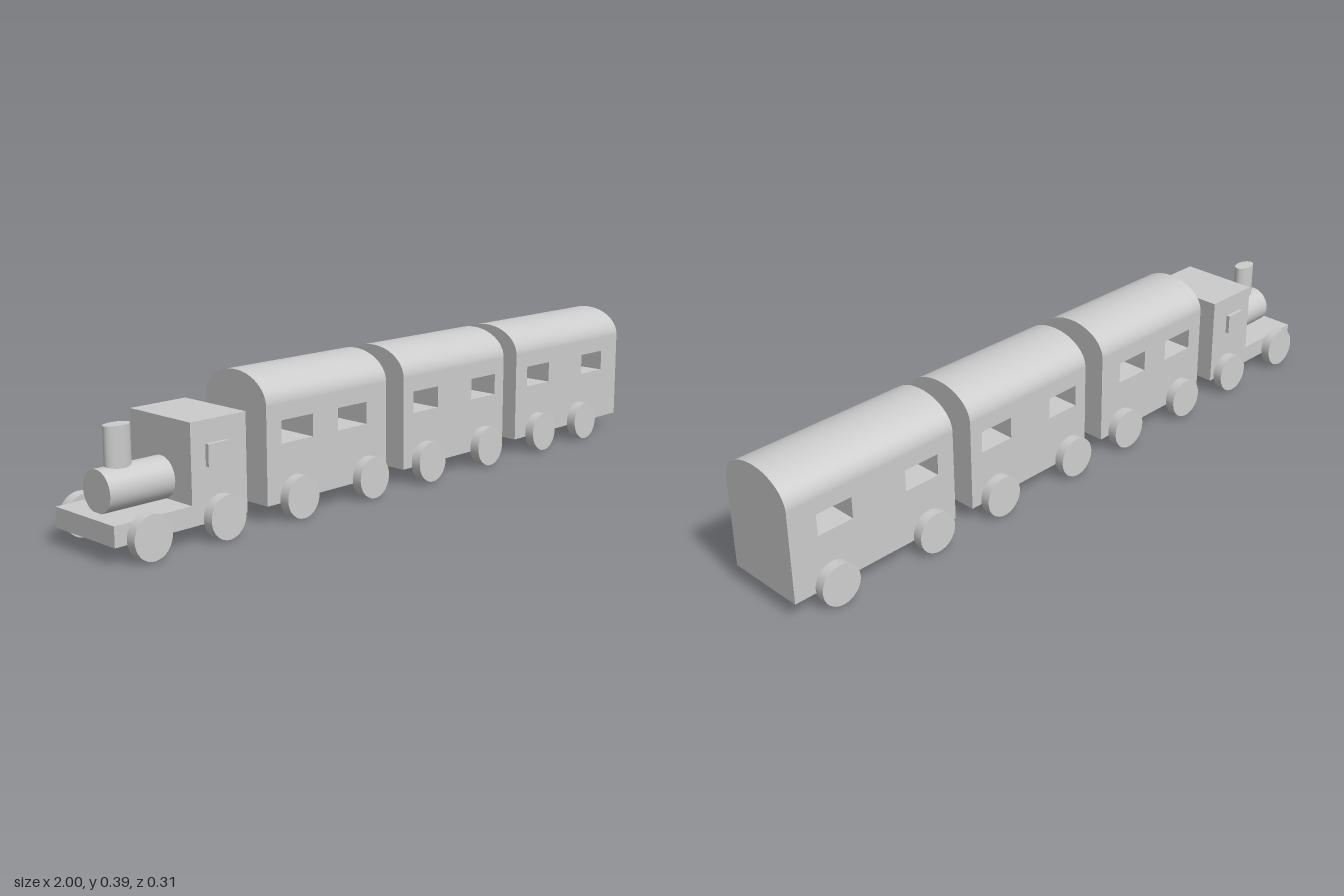
import * as THREE from 'three';

const material = new THREE.MeshStandardMaterial({ color: 0xcccccc });
const HALF = 0.118; // half width of every body
const FLOOR = 0.05;
const EAVES = 0.31;
const ROOF = 0.391;

function add(parent, name, geometry, x = 0, y = 0, z = 0) {
  const mesh = new THREE.Mesh(geometry, material);
  mesh.name = name;
  mesh.position.set(x, y, z);
  parent.add(mesh);
  return mesh;
}

// Box given by its limits on each axis
function addBox(parent, name, [x0, x1], [y0, y1], [z0, z1]) {
  return add(parent, name, new THREE.BoxGeometry(x1 - x0, y1 - y0, z1 - z0),
    (x0 + x1) / 2, (y0 + y1) / 2, (z0 + z1) / 2);
}

function rectangle(target, x0, x1, y0, y1) {
  target.moveTo(x0, y0);
  target.lineTo(x1, y0);
  target.lineTo(x1, y1);
  target.lineTo(x0, y1);
  target.closePath();
  return target;
}

// Wheels on both sides, leaning slightly in at the top
function addWheels(parent, leftXs, rightXs) {
  const geometry = new THREE.CylinderGeometry(0.057, 0.057, 0.029, 32).rotateX(Math.PI / 2);
  [[leftXs, 1], [rightXs, -1]].forEach(([xs, side]) => xs.forEach((x) => {
    const wheel = add(parent, side > 0 ? 'leftWheel' : 'rightWheel', geometry, x, 0.062, side * 0.136);
    wheel.rotation.x = -side * 0.04;
    wheel.rotation.y = side * 0.03;
  }));
}

function createEngine() {
  const engine = new THREE.Group();
  engine.name = 'engine';
  addBox(engine, 'chassis', [-1, -0.77], [FLOOR, 0.103], [-HALF, HALF]);
  addBox(engine, 'cab', [-0.77, -0.595], [FLOOR, EAVES], [-HALF, HALF]);
  for (const side of [-1, 1]) {
    add(engine, 'cabWindow', new THREE.BoxGeometry(0.065, 0.057, 0.03), -0.692, 0.222, side * 0.114);
  }
  add(engine, 'boiler', new THREE.CylinderGeometry(0.055, 0.055, 0.2, 40).rotateZ(Math.PI / 2),
    -0.862, 0.155, 0);
  // Oval chimney
  add(engine, 'chimney', new THREE.CylinderGeometry(0.037, 0.037, 0.15, 32).scale(1, 1, 0.62),
    -0.898, 0.235, 0);
  addWheels(engine, [-0.912, -0.682], [-0.913, -0.665]);
  return engine;
}

function createCarriage({ x, windows, left, right }) {
  const carriage = new THREE.Group();
  carriage.name = 'carriage';
  // Body with windows cut right through
  const outline = rectangle(new THREE.Shape(), x[0], x[1], FLOOR, EAVES);
  outline.holes = windows.map(([a, b]) => rectangle(new THREE.Path(), a, b, 0.206, 0.267));
  add(carriage, 'body', new THREE.ExtrudeGeometry(outline, { depth: HALF * 2, bevelEnabled: false }), 0, 0, -HALF);
  // Half-oval roof
  const roof = new THREE.CylinderGeometry(1, 1, x[1] - x[0], 40, 1, false, 0, Math.PI)
    .rotateZ(Math.PI / 2).scale(1, ROOF - EAVES, HALF);
  add(carriage, 'roof', roof, (x[0] + x[1]) / 2, EAVES, 0);
  addWheels(carriage, left, right);
  return carriage;
}

export function createModel() {
  const train = new THREE.Group();
  train.name = 'train';
  train.add(createEngine());

  const carriages = [
    { x: [-0.527, -0.09], windows: [[-0.476, -0.366], [-0.275, -0.166]], left: [-0.431, -0.168], right: [-0.435, -0.176] },
    { x: [-0.02, 0.417], windows: [[0.02, 0.123], [0.27, 0.377]], left: [0.067, 0.321], right: [0.045, 0.33] },
    { x: [0.478, 1], windows: [[0.532, 0.64], [0.81, 0.917]], left: [0.58, 0.793], right: [0.568, 0.882] },
  ];
  carriages.forEach((spec) => train.add(createCarriage(spec)));

  // Bars between the vehicles
  addBox(train, 'coupling', [-0.6, -0.52], [0.102, 0.147], [-0.013, 0.03]);
  addBox(train, 'coupling', [-0.095, -0.015], [0.115, 0.163], [-0.013, 0.03]);
  addBox(train, 'coupling', [0.412, 0.483], [0.123, 0.16], [-0.027, 0.02]);
  return train;
}
